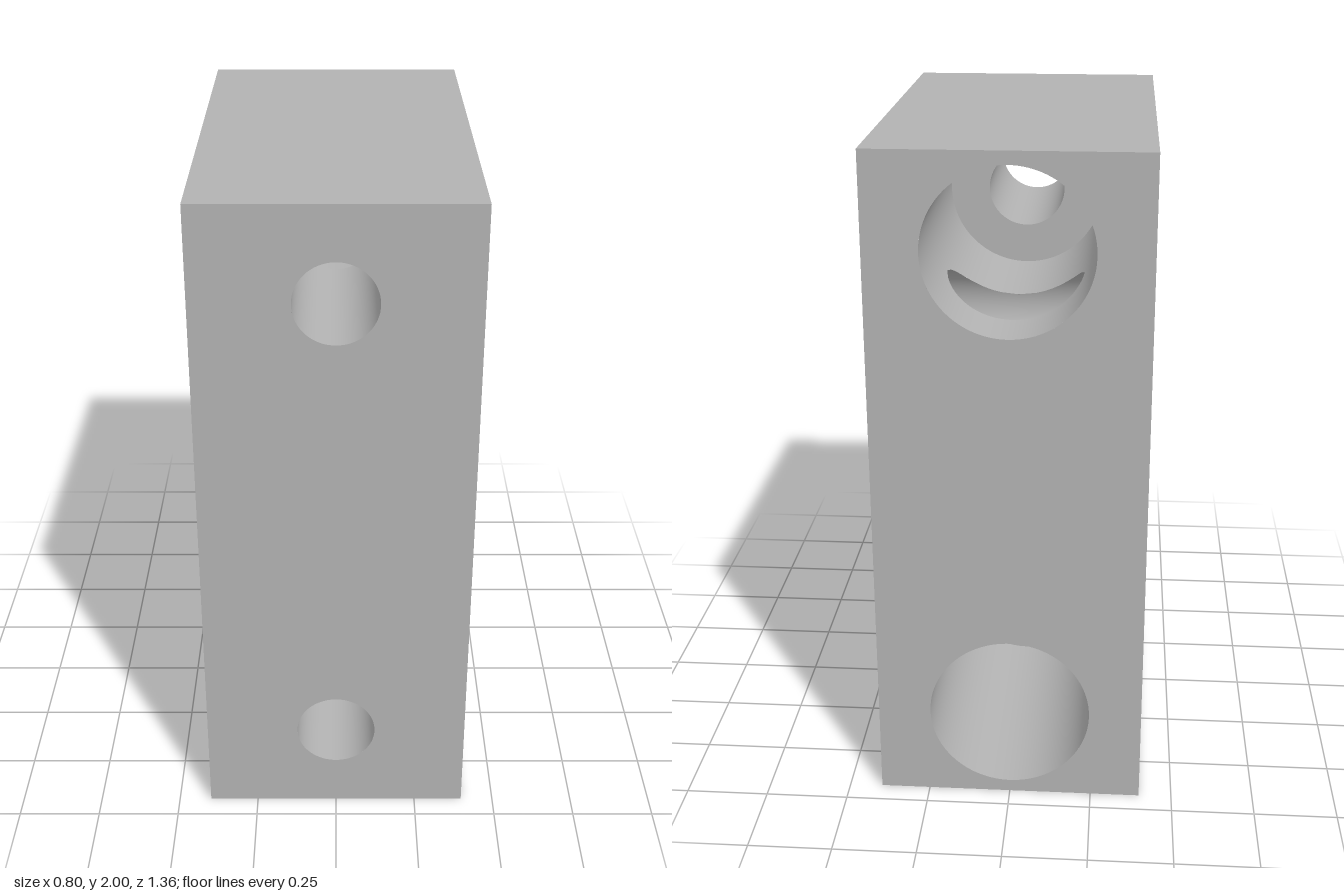
import * as THREE from 'three';

const W = 0.4, H = 2, D = 0.68;            // half width, height, half depth
const SEG = 128;
const CZ = 0.08, PITCH = 0.4525;           // main bore position and bolt pattern
const BOLT_R = 0.13, MAIN_R = 0.41;
const SCREW_Y = [0.28, 1.72], SCREW_R = 0.12, BORE_R = 0.242, BORE_END = 0.13;
const REAR_Z = CZ - PITCH;                 // rear bolt holes break into the counterbores

// half chord of a circle at a height dy from its centre
const chord = (r, dy) => Math.sqrt(Math.max(0, r * r - dy * dy));

// inward-facing cylinder wall along z, its ends set by the height y
function wall(cx, cy, r, start, end) {
  const pos = [], nor = [], idx = [];
  for (let i = 0; i <= SEG; i++) {
    const a = (i / SEG) * Math.PI * 2, c = Math.cos(a), s = Math.sin(a);
    const y = cy + r * s;
    for (const z of [start(y), end(y)]) {
      pos.push(cx + r * c, y, z);
      nor.push(-c, -s, 0);
    }
    if (i < SEG) {
      const k = i * 2;
      idx.push(k, k + 1, k + 3, k, k + 3, k + 2);
    }
  }
  const g = new THREE.BufferGeometry();
  g.setAttribute('position', new THREE.Float32BufferAttribute(pos, 3));
  g.setAttribute('normal', new THREE.Float32BufferAttribute(nor, 3));
  g.setIndex(idx);
  return g;
}

// flat rectangular face with round holes [x, y, r]
function face(halfWidth, y0, y1, holes = []) {
  const s = new THREE.Shape([
    new THREE.Vector2(-halfWidth, y0), new THREE.Vector2(halfWidth, y0),
    new THREE.Vector2(halfWidth, y1), new THREE.Vector2(-halfWidth, y1),
  ]);
  for (const [x, y, r] of holes) {
    s.holes.push(new THREE.Path().absarc(x, y, r, 0, Math.PI * 2, true));
  }
  return new THREE.ShapeGeometry(s, SEG);
}

export function createModel() {
  const model = new THREE.Group();
  model.name = 'mountingBlock';
  const metal = new THREE.MeshStandardMaterial({ color: 0xb2b2b2 });
  metal.name = 'grey metal';
  const add = (name, geometry) => {
    const m = new THREE.Mesh(geometry, metal);
    m.name = name;
    model.add(m);
  };
  const at = (v) => () => v;

  // side faces with the main bore and four bolt holes
  const sideHoles = [[CZ, 1, MAIN_R]];
  for (const sz of [-1, 1]) for (const sy of [-1, 1]) {
    sideHoles.push([CZ + sz * PITCH, 1 + sy * PITCH, BOLT_R]);
  }
  for (const side of [-1, 1]) {
    const holes = sideHoles.map(([z, y, r]) => [-side * z, y, r]);
    add(side > 0 ? 'leftFace' : 'rightFace',
      face(D, 0, H, holes).rotateY(side * Math.PI / 2).translate(side * W, 0, 0));
  }

  // front and back faces with screw holes and counterbores
  add('frontFace', face(W, 0, H, SCREW_Y.map((y) => [0, y, SCREW_R])).translate(0, 0, D));
  add('backFace', face(W, 0, H, SCREW_Y.map((y) => [0, y, BORE_R])).rotateY(Math.PI).translate(0, 0, -D));

  // top and bottom faces
  add('topFace', face(W, -D, D).rotateX(-Math.PI / 2).translate(0, H, 0));
  add('bottomFace', face(W, -D, D).rotateX(Math.PI / 2));

  // holes across the block
  for (const [z, y, r] of sideHoles) {
    const name = r === MAIN_R ? 'mainBore' : 'boltHole';
    if (name === 'boltHole' && z < 0) {
      // wall interrupted where it meets the counterbore
      const cy = y < 1 ? SCREW_Y[0] : SCREW_Y[1];
      const gap = (h) => chord(BORE_R, h - cy);
      add(name, wall(-z, y, r, at(-W), (h) => -gap(h)).rotateY(Math.PI / 2));
      add(name, wall(-z, y, r, gap, at(W)).rotateY(Math.PI / 2));
    } else {
      add(name, wall(-z, y, r, at(-W), at(W)).rotateY(Math.PI / 2));
    }
  }

  // counterbored screw holes from back to front
  for (const y of SCREW_Y) {
    const boltY = y < 1 ? 1 - PITCH : 1 + PITCH;
    const gap = (h) => chord(BOLT_R, h - boltY);
    add('counterbore', wall(0, y, BORE_R, at(-D), (h) => REAR_Z - gap(h)));
    add('counterbore', wall(0, y, BORE_R, (h) => REAR_Z + gap(h), at(BORE_END)));
    add('counterboreShoulder', new THREE.RingGeometry(SCREW_R, BORE_R, SEG)
      .rotateY(Math.PI).translate(0, y, BORE_END));
    add('screwHole', wall(0, y, SCREW_R, at(BORE_END), at(D)));
  }
  return model;
}
